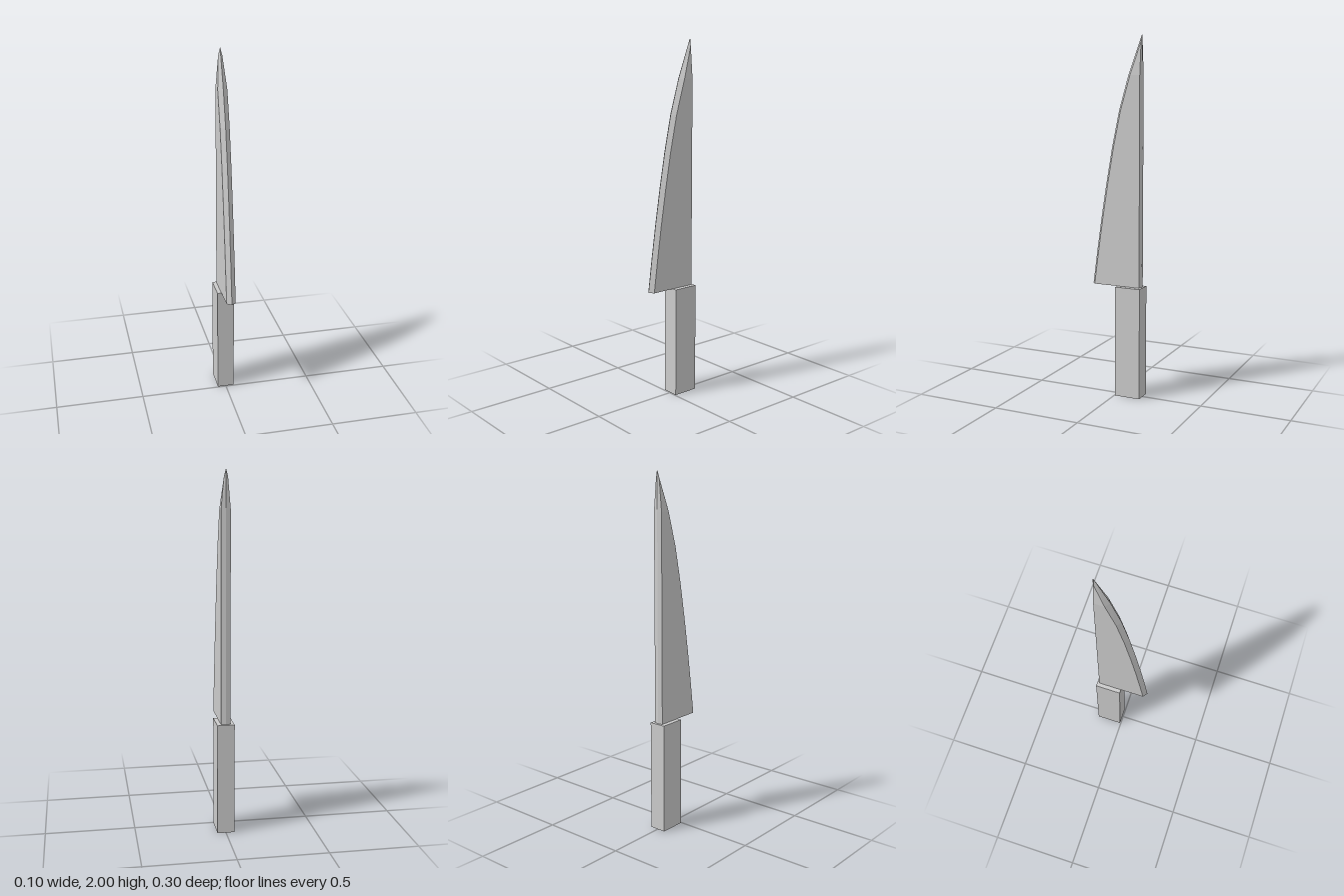
import * as THREE from 'three';

const material = new THREE.MeshStandardMaterial({ color: 0xcccccc, flatShading: true });

// Blade stations: height, cutting edge z, bevel shoulder z, half width
const stations = [
  [0.63, 0.152, 0.132, 0.026],
  [0.82, 0.127, 0.107, 0.026],
  [1.01, 0.1, 0.08, 0.026],
  [1.2, 0.07, 0.05, 0.026],
  [1.4, 0.035, 0.015, 0.026],
  [1.6, -0.007, -0.027, 0.026],
  [1.79, -0.062, -0.083, 0.026],
  [1.96, -0.125, -0.138, 0.011],
  [2.0, -0.14, -0.141, 0.001],
];

function bladeGeometry() {
  const spine = -0.14;
  const rings = stations.map(([y, edge, shoulder, w]) => [
    [0, y, edge], [w, y, shoulder], [w, y, Math.min(spine, shoulder)],
    [0, y, spine - 0.005], [-w, y, Math.min(spine, shoulder)], [-w, y, shoulder],
  ]);
  const positions = [];
  const tri = (a, b, c) => positions.push(...a, ...b, ...c);

  // Sides between neighbouring six-sided sections
  for (let i = 0; i < rings.length - 1; i++) {
    const lo = rings[i], hi = rings[i + 1];
    for (let j = 0; j < 6; j++) {
      const k = (j + 1) % 6;
      tri(lo[j], lo[k], hi[k]);
      tri(lo[j], hi[k], hi[j]);
    }
  }
  // Heel and tip caps
  const heel = rings[0], tip = rings[rings.length - 1];
  for (let j = 1; j < 5; j++) {
    tri(heel[0], heel[j + 1], heel[j]);
    tri(tip[0], tip[j], tip[j + 1]);
  }

  const geometry = new THREE.BufferGeometry();
  geometry.setAttribute('position', new THREE.Float32BufferAttribute(positions, 3));
  geometry.computeVertexNormals();
  return geometry;
}

export function createModel() {
  const group = new THREE.Group();
  group.name = 'knife';

  // Plain rectangular handle, flush with the spine side
  const handle = new THREE.Mesh(new THREE.BoxGeometry(0.096, 0.628, 0.147), material);
  handle.name = 'handle';
  handle.position.set(0, 0.314, -0.079);

  const blade = new THREE.Mesh(bladeGeometry(), material);
  blade.name = 'blade';

  group.add(handle, blade);
  return group;
}
